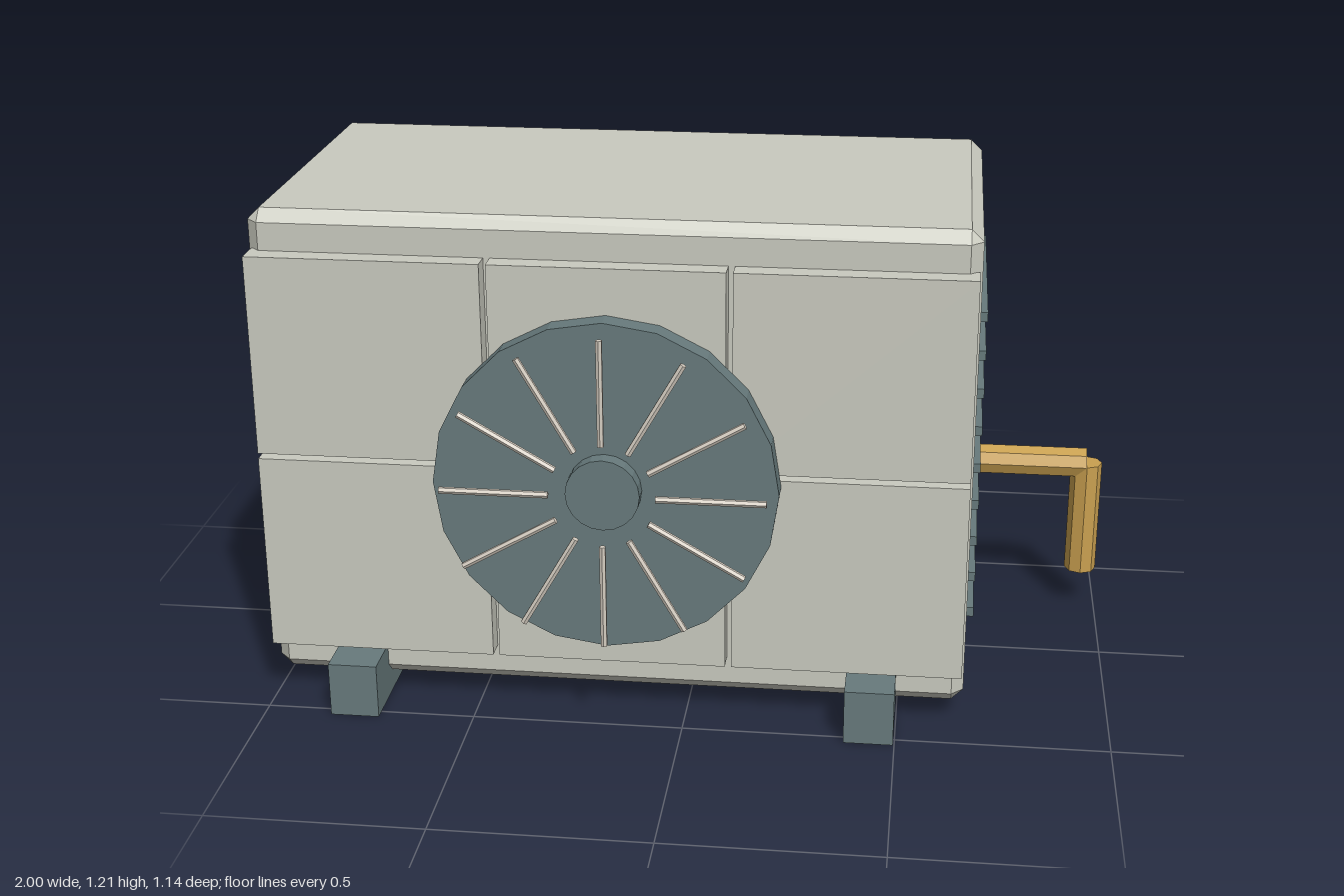
import * as THREE from 'three';
import { ConvexGeometry } from 'three/addons/geometries/ConvexGeometry.js';

export function createModel() {
  const group = new THREE.Group();
  const mat = (name, color) => {
    const m = new THREE.MeshStandardMaterial({ color, flatShading: true });
    m.name = name;
    return m;
  };
  const shell = mat('warmGrey', 0xc9cabf);
  const slate = mat('slate', 0x677a7c);
  const brass = mat('brass', 0xc9a050);
  const pale = mat('paleBeige', 0xd4ccc0);

  const add = (name, geometry, material, x, y, z, parent = group) => {
    const mesh = new THREE.Mesh(geometry, material);
    mesh.name = name;
    mesh.position.set(x, y, z);
    parent.add(mesh);
    return mesh;
  };
  // Box given by its limits on each axis
  const box = (name, material, x0, x1, y0, y1, z0, z1) =>
    add(name, new THREE.BoxGeometry(x1 - x0, y1 - y0, z1 - z0), material,
      (x0 + x1) / 2, (y0 + y1) / 2, (z0 + z1) / 2);

  // Box with all edges chamfered by c
  const chamferedBox = (w, h, d, c) => {
    const points = [];
    for (const sx of [-1, 1]) for (const sy of [-1, 1]) for (const sz of [-1, 1]) {
      const [x, y, z] = [sx * w / 2, sy * h / 2, sz * d / 2];
      points.push(
        new THREE.Vector3(x, y - sy * c, z - sz * c),
        new THREE.Vector3(x - sx * c, y, z - sz * c),
        new THREE.Vector3(x - sx * c, y - sy * c, z));
    }
    return new ConvexGeometry(points);
  };

  // Cabinet
  const cx = -0.172, cz = -0.021;
  add('cabinet', chamferedBox(1.656, 1.157, 0.863, 0.028), shell, cx, 0.631, cz);

  // Front panels, three columns by two rows
  for (const [x0, x1] of [[-0.993, -0.455], [-0.44, 0.097], [0.112, 0.65]])
    for (const [y0, y1] of [[0.148, 0.627], [0.64, 1.116]])
      box('frontPanel', shell, x0, x1, y0, y1, 0.395, 0.461);

  // Fan disc, hub and guard spokes
  const fan = new THREE.Group();
  fan.name = 'fan';
  fan.position.set(cx, 0.612, 0);
  group.add(fan);
  add('fanDisc', new THREE.CylinderGeometry(0.396, 0.396, 0.056, 20), slate, 0, 0, 0.487, fan)
    .rotation.x = Math.PI / 2;
  add('fanHub', new THREE.CylinderGeometry(0.085, 0.085, 0.04, 20), slate, 0, 0, 0.534, fan)
    .rotation.x = Math.PI / 2;
  const spoke = new THREE.CylinderGeometry(0.008, 0.008, 0.25, 6);
  for (let i = 0; i < 12; i++) {
    const a = i * Math.PI / 6;
    add('guardSpoke', spoke, pale, -Math.sin(a) * 0.247, Math.cos(a) * 0.247, 0.562, fan)
      .rotation.z = a;
  }

  // Side louvres
  for (let i = 0; i < 9; i++) {
    const y = 0.235 + i * 0.0926;
    box('sideLouvre', slate, 0.64, 0.674, y - 0.0115, y + 0.0115, -0.328, 0.284);
  }

  // Feet
  for (const s of [-1, 1]) {
    const x = cx + s * 0.611;
    box('foot', slate, x - 0.058, x + 0.058, 0, 0.133, -0.57, 0.526);
  }

  // Elbowed pipe
  add('pipeOutlet', new THREE.CylinderGeometry(0.04, 0.04, 0.32, 8), brass, 0.798, 0.398, -0.288)
    .rotation.z = Math.PI / 2;
  add('pipeDrop', new THREE.CylinderGeometry(0.04, 0.04, 0.298, 8), brass, 0.959, 0.25, -0.288);

  return group;
}
